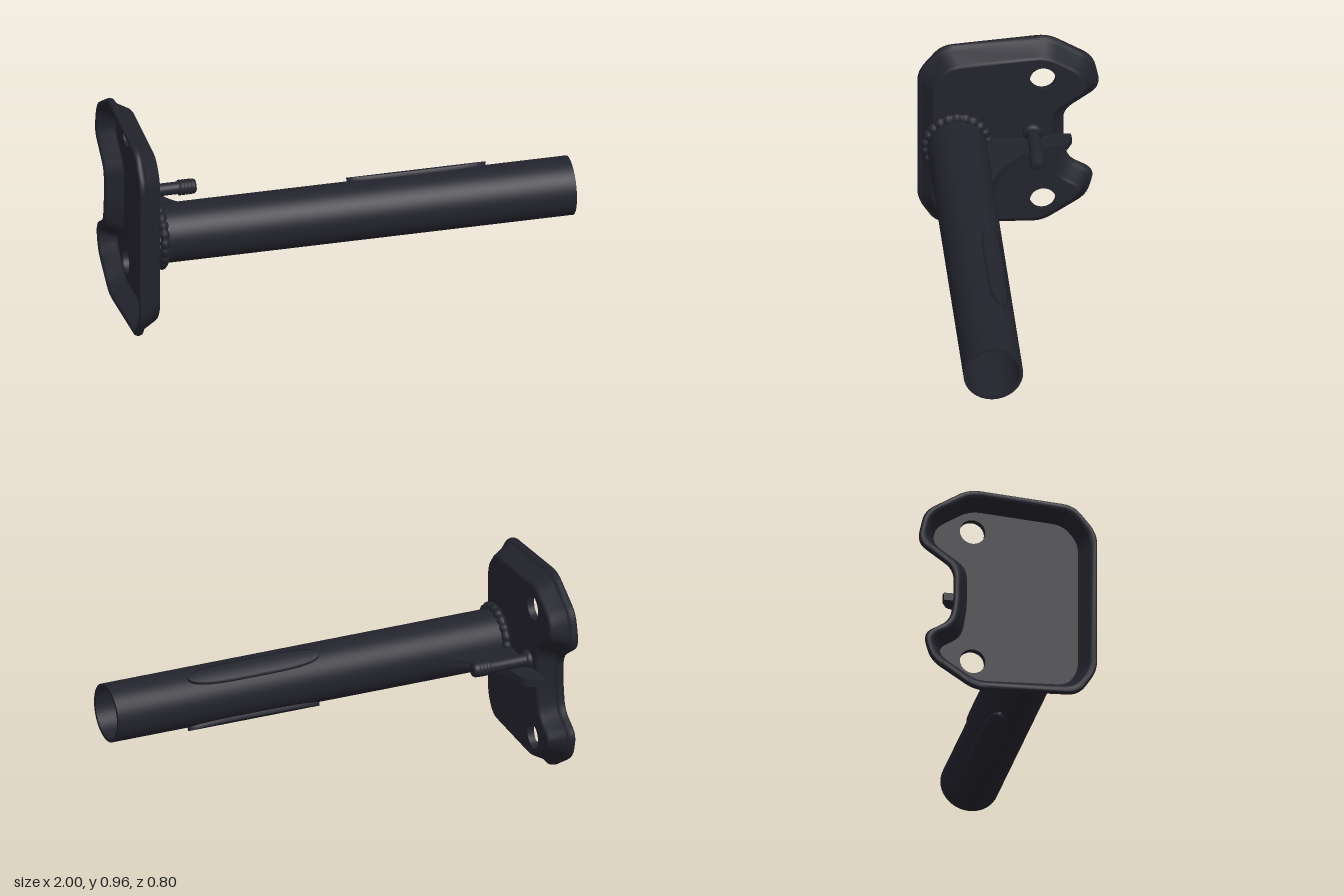
import * as THREE from 'three';

const steel = new THREE.MeshStandardMaterial({ color: 0x23232d, side: THREE.DoubleSide });
steel.name = 'dark steel';

const TUBE = { y: 0.48, z: 0.235, r: 0.132, inner: 0.116 };

function part(name, geometry, parent) {
  const mesh = new THREE.Mesh(geometry, steel);
  mesh.name = name;
  parent.add(mesh);
  return mesh;
}

// Turned part along x; profile is a list of [radius, x]
function turned(profile, segments) {
  const geo = new THREE.LatheGeometry(profile.map(([r, x]) => new THREE.Vector2(r, x)), segments);
  return geo.rotateZ(-Math.PI / 2);
}

// Plate corners, counterclockwise, as (-z, y)
const CORNERS = [
  [-0.4, 0.14], [-0.32, 0.017], [0.15, -0.003], [0.35, 0.125], [0.386, 0.25], [0.265, 0.32],
  [0.247, 0.42], [0.247, 0.575], [0.412, 0.69], [0.378, 0.845], [0.18, 0.966], [-0.295, 0.932], [-0.4, 0.805],
].map(([u, v]) => new THREE.Vector2(u, v));

// Move every edge inward by d, then round each corner
function plateOutline(d) {
  const n = CORNERS.length;
  const at = (list, i) => list[(i + n) % n];
  const inset = CORNERS.map((p, i) => {
    const a = p.clone().sub(at(CORNERS, i - 1)).normalize();
    const b = at(CORNERS, i + 1).clone().sub(p).normalize();
    const m = new THREE.Vector2(-a.y - b.y, a.x + b.x);
    return p.clone().addScaledVector(m, d / (1 + a.dot(b)));
  });
  const points = [];
  inset.forEach((p, i) => {
    const ends = [at(inset, i - 1), at(inset, i + 1)].map((q) =>
      p.clone().lerp(q, Math.min(0.05, 0.42 * p.distanceTo(q)) / p.distanceTo(q)));
    points.push(...new THREE.QuadraticBezierCurve(ends[0], p, ends[1]).getPoints(6));
  });
  return points;
}

// Pressed dish plate with a rolled rim, hollow at the back
function addPlate(root) {
  const plate = new THREE.Group();
  plate.name = 'mountingPlate';
  plate.rotation.y = Math.PI / 2;
  root.add(plate);

  // Section of the rim as [inset, x], from front face to back face
  const section = [
    [0.07, -0.89], [0.062, -0.892], [0.054, -0.9], [0.022, -0.96], [0.012, -0.965], [0.003, -0.971],
    [0, -0.985], [0.004, -0.996], [0.012, -1], [0.024, -0.998], [0.034, -0.99], [0.065, -0.93], [0.073, -0.922],
  ];
  const loops = section.map(([d]) => plateOutline(d));
  const count = loops[0].length;
  const positions = [], index = [];
  loops.forEach((loop, j) => loop.forEach((p, i) => {
    positions.push(p.x, p.y, section[j][1]);
    if (j === section.length - 1) return;
    const k = (i + 1) % count, a = j * count, b = a + count;
    index.push(a + i, b + i, b + k, a + i, b + k, a + k);
  }));
  const rim = new THREE.BufferGeometry();
  rim.setAttribute('position', new THREE.Float32BufferAttribute(positions, 3));
  rim.setIndex(index);
  rim.computeVertexNormals();
  part('plateRim', rim, plate);

  // Flat faces with two bolt holes
  const holes = [[0.148, 0.792], [0.148, 0.163]];
  const radius = 0.057;
  const face = (loop) => {
    const shape = new THREE.Shape(loop);
    holes.forEach(([u, v]) => shape.holes.push(new THREE.Path().absarc(u, v, radius, 0, Math.PI * 2, true)));
    return new THREE.ShapeGeometry(shape, 24);
  };
  part('plateFront', face(loops[0]), plate).position.z = -0.89;
  const back = face(loops[loops.length - 1]);
  const order = back.index.array;
  for (let i = 0; i < order.length; i += 3) [order[i], order[i + 1]] = [order[i + 1], order[i]];
  back.computeVertexNormals();
  part('plateBack', back, plate).position.z = -0.922;
  holes.forEach(([u, v]) => {
    const wall = new THREE.CylinderGeometry(radius, radius, 0.032, 48, 1, true).rotateX(Math.PI / 2);
    part('boltHole', wall, plate).position.set(u, v, -0.906);
  });
}

// Curved raised pad with rounded ends, wrapped on the tube around a centre angle
function padGeometry(side) {
  const rows = 40, cols = 10, positions = [], index = [];
  for (let i = 0; i <= rows; i++) {
    const t = -Math.cos((Math.PI * i) / rows);
    const half = 0.34 * Math.sqrt(Math.max(0, 1 - t ** 4));
    for (let j = 0; j <= cols; j++) {
      // First and last columns drop into the tube to form the edge
      const edge = j === 0 || j === cols || i === 0 || i === rows;
      const s = THREE.MathUtils.clamp((j - 1) / (cols - 2), 0, 1) * 2 - 1;
      const angle = 0.51 + half * s;
      const r = edge ? TUBE.r - 0.003 : 0.148;
      positions.push(0.318 + 0.317 * t, side * r * Math.cos(angle), -r * Math.sin(angle));
      if (i === rows || j === cols) continue;
      const a = i * (cols + 1) + j, b = a + cols + 1;
      if (side > 0) index.push(a, b, b + 1, a, b + 1, a + 1);
      else index.push(a, b + 1, b, a, a + 1, b + 1);
    }
  }
  const flat = new THREE.BufferGeometry();
  flat.setAttribute('position', new THREE.Float32BufferAttribute(positions, 3));
  flat.setIndex(index);
  flat.computeVertexNormals();
  return flat;
}

export function createModel() {
  const root = new THREE.Group();
  root.name = 'tubeBracket';
  addPlate(root);

  // Hollow tube; repeated points keep the end edges sharp
  const tube = new THREE.Group();
  tube.name = 'tubeAssembly';
  tube.position.set(0, TUBE.y, TUBE.z);
  root.add(tube);
  part('tubeOuter', turned([[TUBE.r, -0.892], [TUBE.r, 1]], 64), tube);
  part('tubeEnd', turned([[TUBE.r, 1], [TUBE.inner, 1]], 64), tube);
  part('tubeInner', turned([[TUBE.inner, 1], [TUBE.inner, -0.892]], 64), tube);
  part('upperPad', padGeometry(1), tube);
  part('lowerPad', padGeometry(-1), tube);

  // Lumpy weld bead where tube meets plate
  const bead = new THREE.TorusGeometry(0.138, 0.022, 10, 160);
  const pos = bead.attributes.position;
  for (let i = 0; i < pos.count; i++) {
    const x = pos.getX(i), y = pos.getY(i), r = Math.hypot(x, y);
    const swell = 0.72 + 0.33 * Math.abs(Math.sin(Math.atan2(y, x) * 11));
    const k = (0.138 + (r - 0.138) * swell) / r;
    pos.setXYZ(i, x * k, y * k, pos.getZ(i) * swell);
  }
  bead.rotateY(Math.PI / 2);
  bead.computeVertexNormals();
  part('weldBead', bead, tube).position.x = -0.878;

  // Curved gusset between tube and plate, drawn in x and z
  const web = new THREE.Shape();
  web.moveTo(-0.9, 0.117);
  web.lineTo(-0.9, -0.272);
  web.lineTo(-0.87, -0.274);
  web.lineTo(-0.825, -0.252);
  web.quadraticCurveTo(-0.807, -0.24, -0.802, -0.2);
  web.bezierCurveTo(-0.785, -0.06, -0.73, -0.01, -0.6, 0.075);
  web.quadraticCurveTo(-0.565, 0.095, -0.53, 0.104);
  web.lineTo(-0.53, 0.117);
  const gusset = new THREE.ExtrudeGeometry(web, { depth: 0.035, bevelEnabled: false, curveSegments: 16 });
  part('gusset', gusset.rotateX(Math.PI / 2), root).position.y = 0.496;

  // Stud with a collar and a ridged tip
  const stud = [[0.045, -0.892], [0.045, -0.88], [0.038, -0.87], [0.028, -0.868], [0.028, -0.7]];
  for (let x = -0.695; x < -0.635; x += 0.016) stud.push([0.035, x], [0.035, x + 0.008], [0.031, x + 0.012]);
  stud.push([0.034, -0.628], [0.028, -0.618], [0, -0.618]);
  part('stud', turned(stud, 32), root).position.set(0, 0.518, -0.103);

  return root;
}
